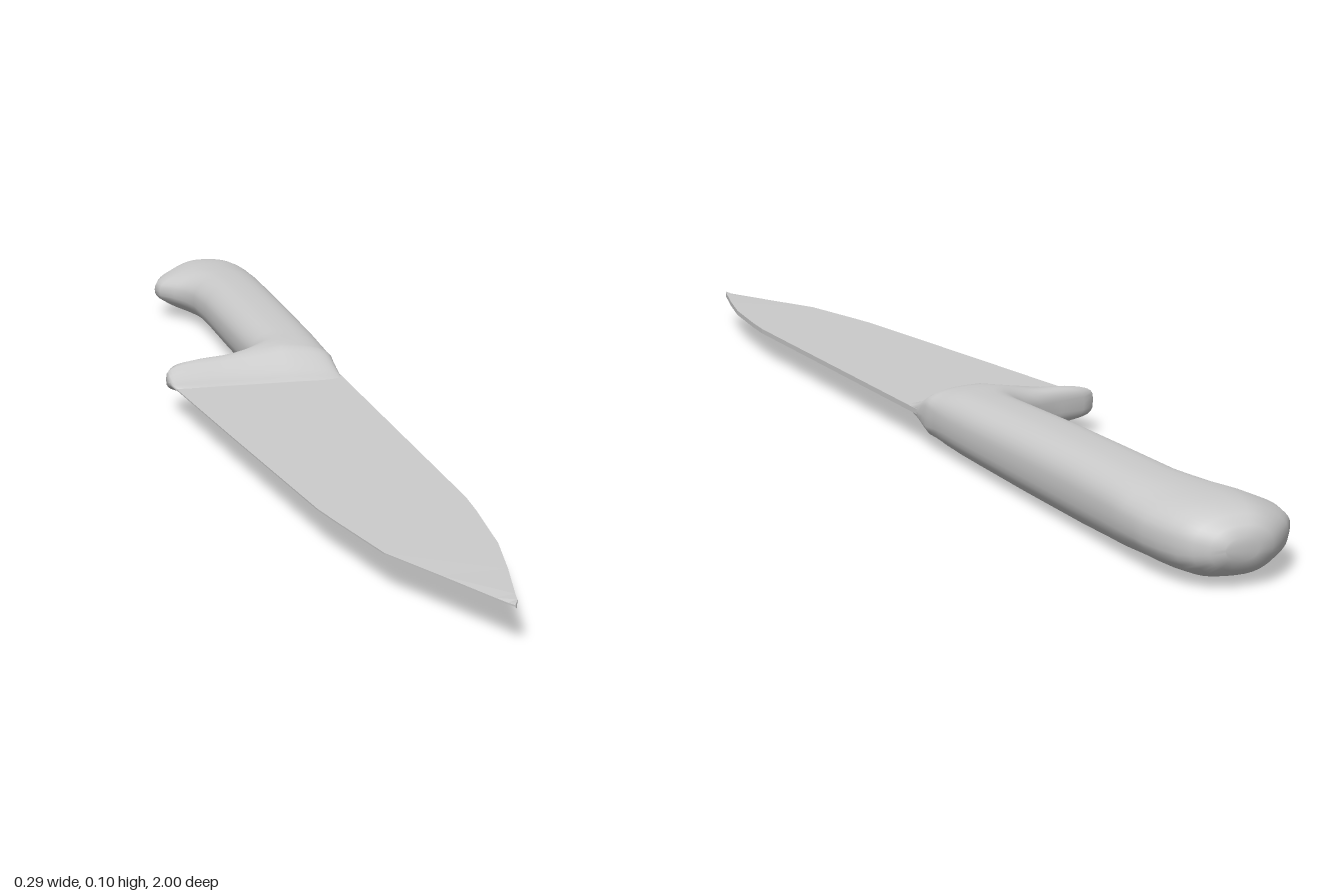
import * as THREE from 'three';

// Skin a list of closed rings (counter-clockwise seen from +z, ordered by z) and cap both ends.
function loft(rings) {
  const n = rings[0].length;
  const pos = rings.flat(2);
  const index = [];
  for (let i = 0; i < rings.length - 1; i++) {
    for (let j = 0; j < n; j++) {
      const k = (j + 1) % n;
      const a = i * n + j, b = i * n + k, c = a + n, d = b + n;
      index.push(a, b, c, b, d, c);
    }
  }
  const last = (rings.length - 1) * n;
  for (let j = 1; j < n - 1; j++) {
    index.push(0, j + 1, j);
    index.push(last, last + j, last + j + 1);
  }
  const geo = new THREE.BufferGeometry();
  geo.setAttribute('position', new THREE.Float32BufferAttribute(pos, 3));
  geo.setIndex(index);
  geo.computeVertexNormals();
  return geo;
}

const MID = 0.052; // height of the blade plane

// Rounded handle section, thinner towards the cutting side.
function handleRing([z, x0, x1, h, p]) {
  const ring = [];
  const SEG = 40;
  for (let j = 0; j < SEG; j++) {
    const a = (j / SEG) * Math.PI * 2;
    const c = Math.cos(a), s = Math.sin(a);
    const x = (x0 + x1) / 2 + ((x1 - x0) / 2) * Math.sign(c) * Math.abs(c) ** p;
    const thin = 0.68 + 0.32 * THREE.MathUtils.smoothstep(x, -0.05, 0.05);
    ring.push([x, MID + h * thin * Math.sign(s) * Math.abs(s) ** p, z]);
  }
  return ring;
}

// Wedge section: thick spine at +x, thin cutting edge at -x.
function bladeRing([z, x0, x1]) {
  const t = 0.004, e = 0.001;
  return [[x1, MID - t, z], [x1, MID + t, z], [x0, MID + e, z], [x0, MID - e, z]];
}

export function createModel() {
  const group = new THREE.Group();
  const material = new THREE.MeshStandardMaterial({ color: 0xcccccc, roughness: 0.6 });

  // Handle: z, cutting side x, spine side x, half thickness, roundness
  const handleRows = [
    // rounded butt with hooked knob
    [-1.0, 0.045, 0.09, 0.014, 0.9],
    [-0.994, 0.022, 0.108, 0.027, 0.9],
    [-0.98, 0.003, 0.123, 0.037, 0.85],
    [-0.96, -0.018, 0.134, 0.043, 0.8],
    [-0.93, -0.039, 0.141, 0.046, 0.8],
    [-0.895, -0.049, 0.145, 0.047, 0.8],
    [-0.87, -0.043, 0.145, 0.047, 0.8],
    [-0.84, -0.02, 0.145, 0.047, 0.8],
    [-0.81, -0.004, 0.144, 0.048, 0.8],
    [-0.77, 0.005, 0.143, 0.048, 0.8],
    // grip
    [-0.68, 0.01, 0.141, 0.05, 0.8],
    [-0.5, 0.011, 0.139, 0.05, 0.8],
    [-0.36, 0.013, 0.138, 0.048, 0.8],
    [-0.29, 0.014, 0.137, 0.047, 0.8],
    // flare into the finger guard
    [-0.255, 0.006, 0.136, 0.046, 0.78],
    [-0.235, -0.012, 0.136, 0.046, 0.75],
    [-0.218, -0.04, 0.135, 0.045, 0.7],
    [-0.205, -0.08, 0.135, 0.045, 0.65],
    [-0.195, -0.122, 0.135, 0.044, 0.6],
    [-0.184, -0.142, 0.135, 0.043, 0.55],
    [-0.172, -0.148, 0.134, 0.038, 0.55],
    // concave slope down to the blade
    [-0.155, -0.148, 0.134, 0.026, 0.55],
    [-0.135, -0.147, 0.134, 0.014, 0.55],
    [-0.118, -0.146, 0.134, 0.008, 0.55],
    [-0.1, -0.144, 0.134, 0.004, 0.55],
  ];
  const handle = new THREE.Mesh(loft(handleRows.map(handleRing)), material);
  handle.name = 'handle';
  group.add(handle);

  // Blade: z, edge x, spine x
  const bladeRows = [
    [-0.15, -0.148, 0.134],
    [0.2, -0.112, 0.134],
    [0.58, -0.071, 0.134],
    [0.64, -0.06, 0.13],
    [0.78, -0.032, 0.116],
    [0.88, 0.013, 0.097],
    [0.97, 0.052, 0.077],
    [0.99, 0.061, 0.073],
    [1.0, 0.067, 0.069],
  ];
  const bladeGeo = loft(bladeRows.map(bladeRing)).toNonIndexed();
  bladeGeo.computeVertexNormals();
  const blade = new THREE.Mesh(bladeGeo, material);
  blade.name = 'blade';
  group.add(blade);

  return group;
}
